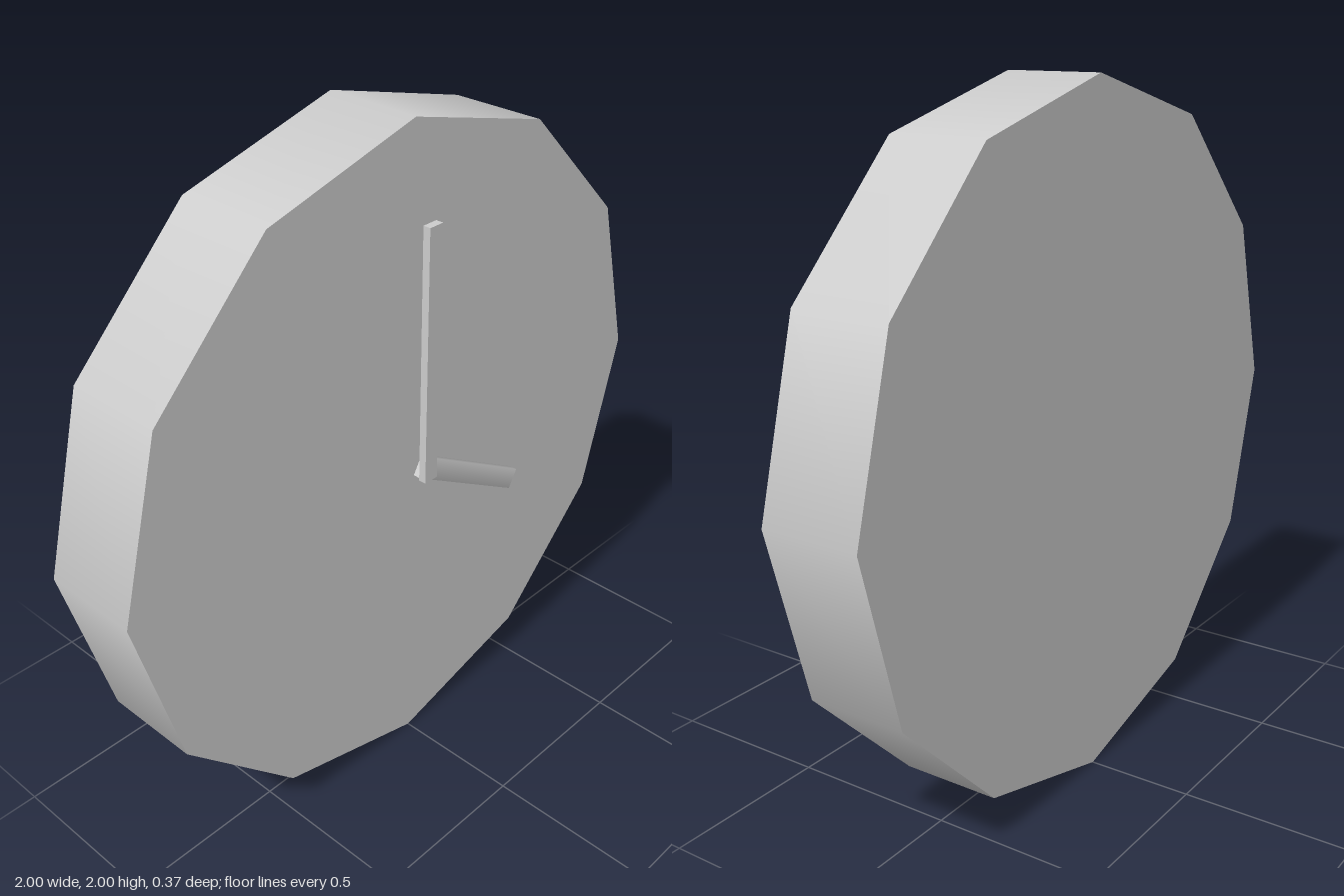
import * as THREE from 'three';

const material = new THREE.MeshStandardMaterial({ color: 0xcccccc });

function addPart(group, name, geometry) {
  const mesh = new THREE.Mesh(geometry, material);
  mesh.name = name;
  group.add(mesh);
  return mesh;
}

// Four-sided bar running along +y from its base, softly shaded across its width
function softBar(width, length, depth) {
  return new THREE.CylinderGeometry(Math.SQRT1_2, Math.SQRT1_2, 1, 4)
    .rotateY(Math.PI / 4)
    .translate(0, 0.5, 0)
    .scale(width, length, depth);
}

export function createModel() {
  const clock = new THREE.Group();
  clock.name = 'wallClock';

  // Twelve-sided case, smooth around the rim, with a corner at every hour
  const body = addPart(clock, 'clockBody',
    new THREE.CylinderGeometry(1, 1, 0.293, 12).rotateX(Math.PI / 2));
  body.position.set(0, 1, -0.037);

  // Minute hand pointing to twelve, in front of the hour hand
  const minuteHand = addPart(clock, 'minuteHand',
    new THREE.BoxGeometry(0.048, 0.765, 0.023).translate(0, 0.3825, 0));
  minuteHand.position.set(0, 0.974, 0.172);

  // Hour hand pointing to four
  const hourHand = addPart(clock, 'hourHand', softBar(0.063, 0.476, 0.023));
  hourHand.position.set(-0.005, 1.007, 0.149);
  hourHand.rotation.z = -Math.PI * 2 / 3;

  return clock;
}
